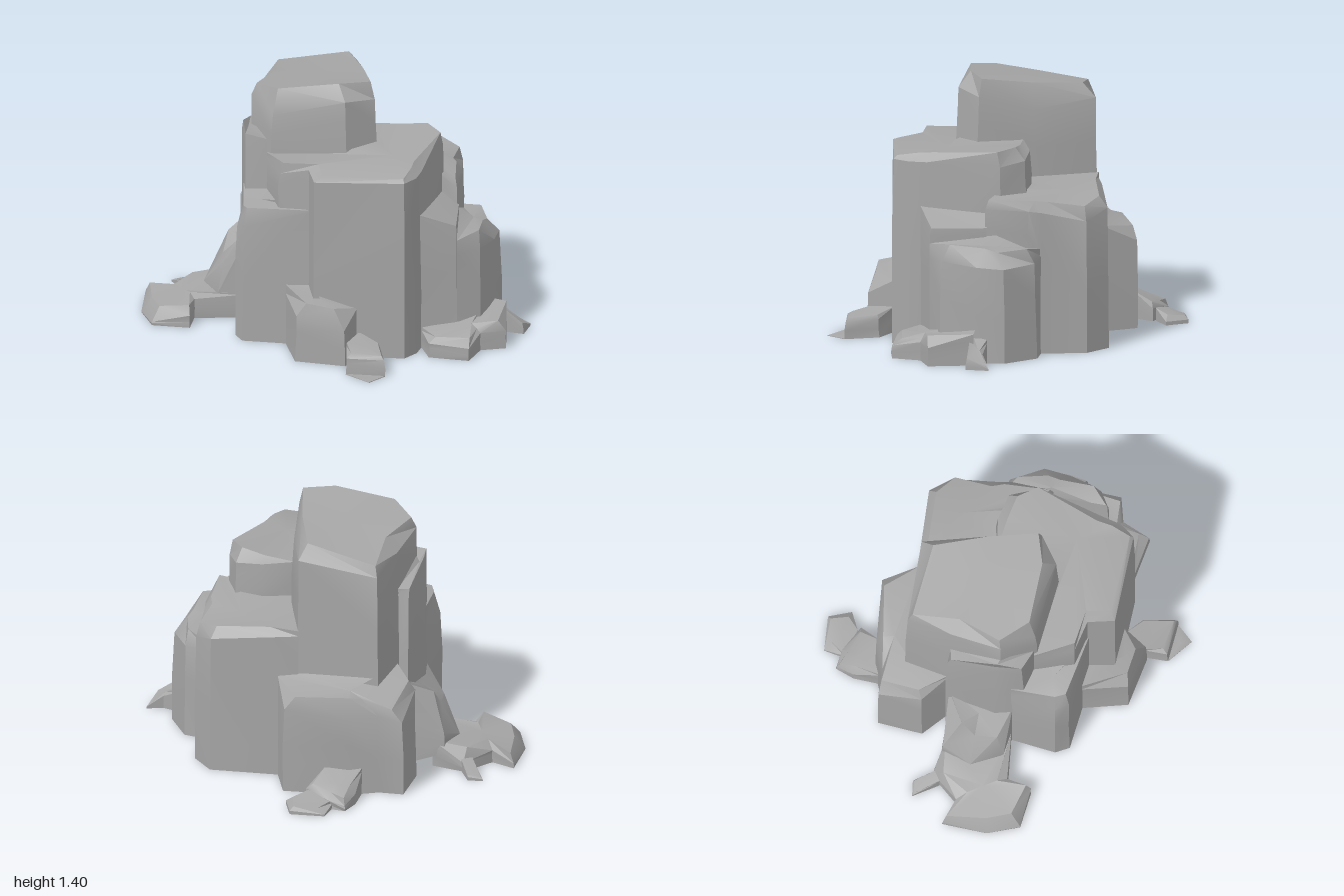
import * as THREE from 'three';
import { toCreasedNormals } from 'three/addons/utils/BufferGeometryUtils.js';

const stone = new THREE.MeshStandardMaterial({ color: 0xa6a6a6, side: THREE.DoubleSide });
stone.name = 'grey stone';

// One open-bottomed boulder. Each row is [x, z, shoulder height, top height, base height]:
// walls rise from the base to the shoulder, then bevel in to the top.
// Edges listed in `hidden` (edge i runs from row i to the next) lie against a neighbour and get no wall.
function rock(name, rows, { center, inset = 0.05, taper = 0.008, bulge = 0.007, hidden = [] } = {}) {
  const n = rows.length;
  const mean = k => rows.reduce((s, p) => s + p[k], 0) / n;
  const [cx, cz] = center ?? [mean(0), mean(1)];
  const area = rows.reduce((s, [x, z], i) => {
    const [x2, z2] = rows[(i + 1) % n];
    return s + x * z2 - x2 * z;
  }, 0);
  const fixed = i => hidden.includes(i) || hidden.includes((i + n - 1) % n);

  // Moves a footprint point towards the centre by a distance
  const ring = (distance, height) => rows.map((p, i) => {
    const dx = cx - p[0], dz = cz - p[1];
    const length = Math.hypot(dx, dz);
    const d = fixed(i) ? 0 : Math.min(distance(i), length * 0.6) / length;
    return [p[0] + dx * d, height(p, i), p[1] + dz * d];
  });
  const rings = [
    ring(() => 0, p => p[4] ?? 0),
    ring(i => taper / 2 + bulge * Math.sin(i * 2.4 + cx * 9), (p, i) => {
      const base = p[4] ?? 0;
      return base + (p[2] - base) * (0.55 + 0.12 * Math.sin(i * 1.9));
    }),
    ring(() => taper, p => p[2]),
    ring(i => inset * (1 + 0.45 * Math.sin(i * 2.1 + cz * 7)), p => p[3]),
  ];
  const positions = rings.flat(2);
  positions.push(cx, mean(3), cz);

  const index = [];
  const face = (a, b, c) => (area > 0 ? index.push(b, a, c) : index.push(a, b, c));
  for (let i = 0; i < n; i++) {
    const j = (i + 1) % n;
    for (let r = 0; r < 3 && !hidden.includes(i); r++) {
      const a = r * n + i, b = r * n + j;
      face(a, b, b + n);
      face(a, b + n, a + n);
    }
    face(3 * n + i, 3 * n + j, 4 * n);
  }
  const geo = new THREE.BufferGeometry();
  geo.setAttribute('position', new THREE.Float32BufferAttribute(positions, 3));
  geo.setIndex(index);
  const mesh = new THREE.Mesh(toCreasedNormals(geo, 0.5), stone);
  mesh.name = name;
  return mesh;
}

export function createModel() {
  const group = new THREE.Group();
  group.name = 'rockFormation';
  const add = (...args) => group.add(rock(...args));

  // Tall central column and the thin slab against its side
  add('tower', [
    [-0.2, -0.575, 1.2, 1.26, 0.5], [0.23, -0.465, 1.26, 1.335, 0.55], [0.245, -0.1, 1.22, 1.36, 0.83],
    [0.2, 0.2, 1.3, 1.395, 1.04], [0.02, 0.265, 1.32, 1.4, 1.03], [-0.36, 0.12, 1.22, 1.36, 0.98],
    [-0.44, -0.08, 1.27, 1.33, 0.95], [-0.32, -0.35, 1.24, 1.31, 0.5],
  ], { inset: 0.065, taper: 0.015 });
  add('towerSideSlab', [
    [-0.31, -0.34, 1.0, 1.03], [-0.37, -0.37, 0.98, 1.03], [-0.48, -0.12, 1.06, 1.11],
    [-0.485, 0.04, 1.0, 1.09, 0.7], [-0.38, 0.1, 1.06, 1.08, 0.76], [-0.42, -0.08, 1.11, 1.11],
  ], { inset: 0.02, taper: 0.01, center: [-0.44, -0.1], hidden: [4, 5] });

  // Large boulders around the column
  add('frontBoulder', [
    [-0.38, 0.09, 0.97, 1.0, 0.76], [-0.36, 0.32, 0.97, 1.03, 0.76], [-0.22, 0.4, 1.01, 1.04],
    [-0.22, 0.55, 1.0, 1.02], [0.25, 0.69, 1.01, 1.03], [0.33, 0.63, 1.01, 1.05], [0.38, 0.54, 1.01, 1.055],
    [0.57, 0.18, 1.0, 1.08, 0.66], [0.54, 0.03, 1.02, 1.09, 0.82], [0.4, -0.04, 1.04, 1.07, 0.82],
    [0.22, -0.05, 1.06, 1.06, 0.82], [0.18, 0.17, 1.06, 1.06], [0.02, 0.235, 1.05, 1.05],
  ], { center: [0.25, 0.38], hidden: [10, 11, 12] });
  add('frontSideBoulder', [
    [-0.48, -0.03, 0.68, 0.78], [-0.57, 0.2, 0.63, 0.75], [-0.55, 0.28, 0.66, 0.76],
    [-0.21, 0.41, 0.77, 0.78], [-0.33, 0.3, 0.79, 0.8], [-0.34, 0.1, 0.79, 0.8],
  ], { center: [-0.43, 0.2], hidden: [3, 4, 5] });
  add('rearSideBoulder', [
    [0.22, -0.47, 0.82, 0.85, 0.55], [0.33, -0.46, 0.81, 0.85], [0.69, -0.385, 0.77, 0.83],
    [0.765, -0.24, 0.72, 0.8], [0.71, 0, 0.77, 0.82], [0.7, 0.07, 0.78, 0.83, 0.5], [0.62, 0.29, 0.79, 0.84, 0.6],
    [0.54, 0.2, 0.84, 0.85, 0.62], [0.51, 0.04, 0.85, 0.86], [0.39, -0.02, 0.85, 0.86], [0.21, -0.05, 0.85, 0.86],
  ], { center: [0.52, -0.2], hidden: [7, 8, 9, 10] });
  add('rearBoulder', [
    [-0.31, -0.35, 0.58, 0.6], [-0.41, -0.5, 0.51, 0.57], [-0.33, -0.73, 0.42, 0.49], [-0.2, -0.7, 0.45, 0.53],
    [-0.04, -0.725, 0.44, 0.55], [0.31, -0.66, 0.48, 0.55], [0.33, -0.455, 0.58, 0.58],
    [0.22, -0.45, 0.61, 0.61], [-0.2, -0.555, 0.62, 0.62],
  ], { center: [-0.05, -0.62], inset: 0.07, hidden: [6, 7, 8] });

  // Stepped pillars at the front corner
  add('cornerSlab', [
    [0.355, 0.565, 0.76, 0.77], [0.56, 0.58, 0.65, 0.69], [0.63, 0.28, 0.65, 0.69, 0.55], [0.55, 0.18, 0.73, 0.75],
  ], { inset: 0.03, hidden: [2, 3] });
  add('cornerPillar', [
    [0.69, -0.01, 0.53, 0.57], [0.81, 0.05, 0.52, 0.6], [0.87, 0.25, 0.51, 0.59], [0.81, 0.4, 0.52, 0.61],
    [0.69, 0.56, 0.54, 0.63], [0.56, 0.575, 0.53, 0.61], [0.62, 0.21, 0.66, 0.66],
  ], { inset: 0.09, taper: 0.015, center: [0.71, 0.28], hidden: [5, 6] });

  // Low rocks at the base
  add('lowSideShoulder', [
    [-0.35, -0.35, 0.48, 0.5], [-0.56, -0.4, 0.2, 0.4, 0.08], [-0.65, -0.26, 0.13, 0.3, 0.1],
    [-0.61, -0.08, 0.13, 0.3, 0.05], [-0.47, -0.02, 0.42, 0.46],
  ], { inset: 0.09, taper: 0, center: [-0.46, -0.2], hidden: [4] });
  add('lowSideSlab', [
    [-0.93, -0.43, 0.03, 0.08], [-0.82, -0.35, 0.07, 0.11], [-0.66, -0.46, 0.05, 0.12],
    [-0.5, -0.38, 0.13, 0.15], [-0.5, -0.03, 0.13, 0.14], [-0.74, -0.07, 0.11, 0.13],
    [-0.79, 0.055, 0.07, 0.12], [-0.98, -0.02, 0.02, 0.09], [-1, -0.2, 0.01, 0.08],
  ], { center: [-0.77, -0.2], taper: 0, hidden: [3] });
  add('sideChip', [
    [-0.76, -0.58, 0.01, 0.02], [-0.68, -0.57, 0.02, 0.03], [-0.65, -0.45, 0.06, 0.07], [-0.71, -0.43, 0.06, 0.07],
  ], { inset: 0.015, taper: 0, bulge: 0, hidden: [2] });
  add('rearLowRock', [
    [-0.11, -0.71, 0.13, 0.15], [-0.07, -0.84, 0.06, 0.1], [-0.01, -0.925, 0.03, 0.07],
    [0.08, -0.89, 0.05, 0.08], [0.19, -0.78, 0.07, 0.1], [0.08, -0.69, 0.14, 0.16],
  ], { inset: 0.03, taper: 0, hidden: [5] });
  add('rearChip', [
    [0.05, -0.88, 0.03, 0.05], [0.1, -0.985, 0.01, 0.03], [0.285, -0.95, 0.02, 0.04],
    [0.3, -0.82, 0.02, 0.05], [0.18, -0.8, 0.05, 0.07],
  ], { inset: 0.04, taper: 0, bulge: 0, hidden: [4] });
  add('frontStone', [
    [-0.33, 0.36, 0.29, 0.34], [-0.33, 0.61, 0.26, 0.33], [-0.08, 0.73, 0.2, 0.31],
    [0.01, 0.61, 0.27, 0.28], [-0.2, 0.54, 0.34, 0.35], [-0.21, 0.4, 0.34, 0.35],
  ], { inset: 0.06, center: [-0.17, 0.61], hidden: [3, 4, 5] });
  add('frontChip', [
    [-0.07, 0.72, 0.11, 0.13], [-0.1, 0.84, 0.09, 0.11], [0.1, 0.91, 0.09, 0.11],
    [0.115, 0.72, 0.1, 0.12], [0.02, 0.61, 0.13, 0.14],
  ], { inset: 0.03, hidden: [4] });
  add('frontFlake', [
    [-0.1, 0.84, 0.003, 0.004], [0, 0.975, 0.003, 0.004], [0.1, 0.91, 0.003, 0.004],
  ], { inset: 0.002, taper: 0, bulge: 0, hidden: [2] });
  add('cornerLowRock', [
    [0.37, 0.57, 0.1, 0.12], [0.38, 0.7, 0.08, 0.11], [0.58, 0.79, 0.07, 0.11], [0.67, 0.66, 0.1, 0.12],
    [0.81, 0.66, 0.1, 0.16], [0.86, 0.42, 0.13, 0.17], [0.79, 0.39, 0.17, 0.18],
    [0.68, 0.54, 0.16, 0.17], [0.56, 0.56, 0.13, 0.14],
  ], { inset: 0.04, taper: 0, center: [0.63, 0.62], hidden: [5, 6, 7, 8] });
  add('cornerChip', [
    [0.79, 0.4, 0.12, 0.14], [0.84, 0.34, 0.11, 0.13], [0.91, 0.385, 0.07, 0.09],
    [1, 0.38, 0.01, 0.02], [0.94, 0.49, 0.02, 0.06], [0.85, 0.44, 0.11, 0.13],
  ], { inset: 0.02, taper: 0, bulge: 0, hidden: [0, 5] });

  return group;
}
